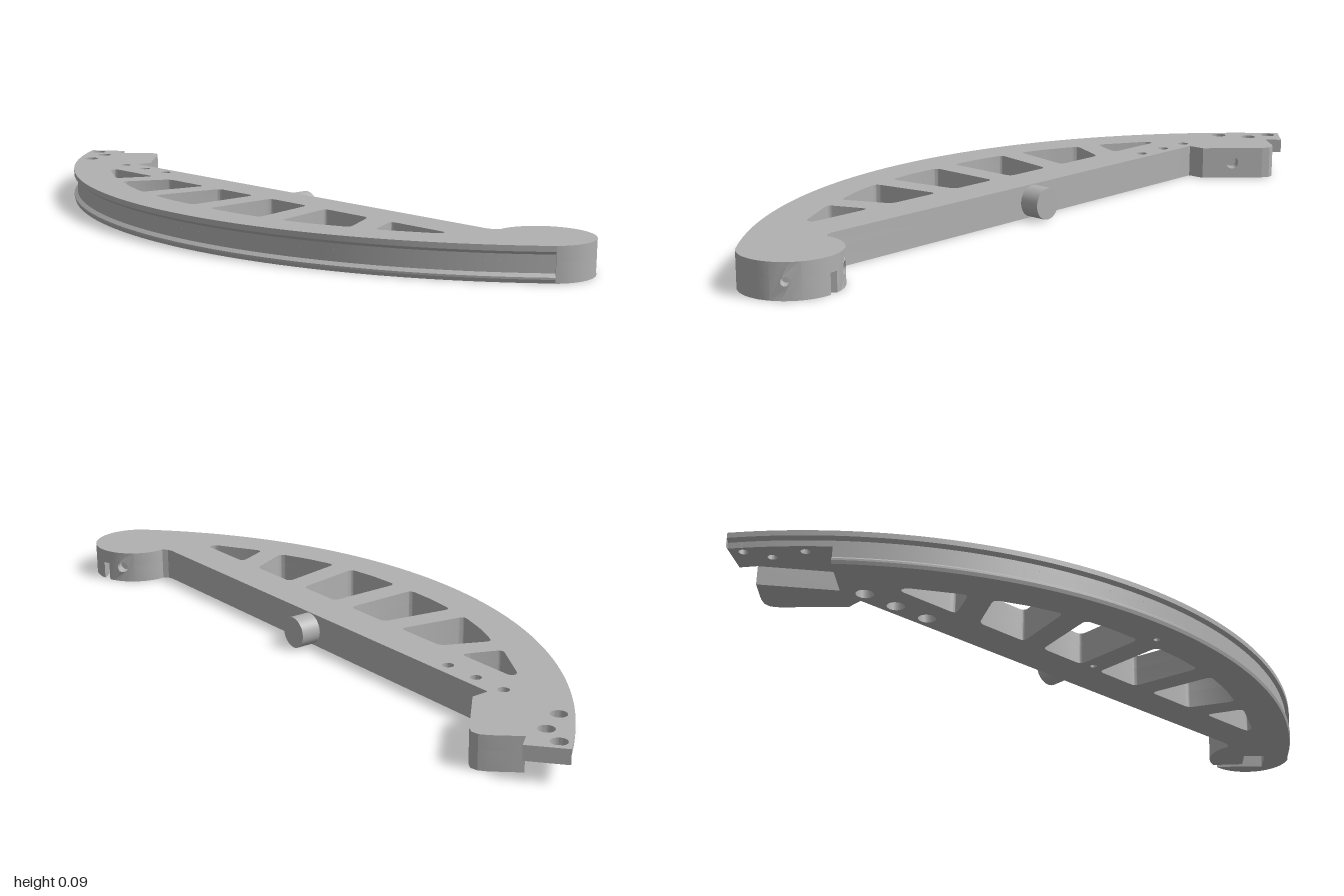
import * as THREE from 'three';
import { toCreasedNormals } from 'three/addons/utils/BufferGeometryUtils.js';

const H = 0.088, STEP = 0.05;             // full thickness, height of the layer split
const CX = 0.995, CZ = 0.035, R = 1.305;  // centre and radius of the curved rim
const CORE = R - 0.01;
const BALL = [0.156, 0.87], BR = 0.122;   // rounded end
const SLAB = { width: 0.07, depth: 0.03 };
const A_TIP = 2 * Math.PI + Math.atan2(-1.035, -0.795);
const A_STEP = 2 * Math.PI + Math.atan2(-0.86, -0.981);
const A_END = Math.atan2(0.93, -0.915);

const polar = (cx, cz, r, a) => [cx + r * Math.cos(a), cz + r * Math.sin(a)];

function arc(cx, cz, r, a0, a1, n) {
  return Array.from({ length: n + 1 }, (_, i) => polar(cx, cz, r, a0 + (a1 - a0) * i / n));
}

const toShape = pts => new THREE.Shape(pts.map(p => new THREE.Vector2(p[0], p[1])));

function circle(x, z, r) {
  return new THREE.Path().absarc(x, z, r, 0, Math.PI * 2, false);
}

// Polygon with its corners rounded off
function rounded(pts, r) {
  const path = new THREE.Path();
  const v = pts.map(p => new THREE.Vector2(p[0], p[1]));
  v.forEach((p, i) => {
    const prev = v[(i + v.length - 1) % v.length], next = v[(i + 1) % v.length];
    const toward = q => p.clone().add(q.clone().sub(p).setLength(Math.min(r, p.distanceTo(q) * 0.45)));
    const a = toward(prev), b = toward(next);
    if (i === 0) path.moveTo(a.x, a.y); else path.lineTo(a.x, a.y);
    path.quadraticCurveTo(p.x, p.y, b.x, b.y);
  });
  path.closePath();
  return path;
}

// Horizontal plate from an x/z shape between two heights
function plate(shape, y0, y1) {
  const g = new THREE.ExtrudeGeometry(shape, { depth: y1 - y0, bevelEnabled: false, curveSegments: 8 });
  g.rotateX(Math.PI / 2).translate(0, y1, 0);
  return toCreasedNormals(g, 0.5);
}

// Upright slab with a round bore; its front may follow a cylinder
function drilledSlab(w, depth, hole, radius) {
  const n = 8, pts = [];
  for (let i = 0; i <= n; i++) pts.push([-w / 2 + w * i / n, 0]);
  for (let i = n; i >= 0; i--) pts.push([-w / 2 + w * i / n, H]);
  const s = toShape(pts);
  s.holes.push(circle(0, H / 2, hole));
  const g = new THREE.ExtrudeGeometry(s, { depth, bevelEnabled: false, curveSegments: 10 });
  g.translate(0, 0, -depth);
  const p = g.attributes.position;
  if (radius) for (let i = 0; i < p.count; i++) {
    if (p.getZ(i) > -1e-5) p.setZ(i, Math.sqrt(radius ** 2 - p.getX(i) ** 2) - radius);
  }
  return toCreasedNormals(g, 0.5);
}

// Seat in the rounded end that receives a drilled slab
function slabSeat(a) {
  const d = BR - SLAB.depth, w = SLAB.width / 2, h = Math.asin(w / BR);
  const at = s => [BALL[0] + d * Math.cos(a) - s * w * Math.sin(a), BALL[1] + d * Math.sin(a) + s * w * Math.cos(a)];
  return [polar(...BALL, BR, a - h), at(-1), at(1), polar(...BALL, BR, a + h)];
}

const BORE_A = -0.66, BORE_B = 0.79;      // directions of the bores in the rounded end

function outline(lower) {
  const half = Math.asin(SLAB.width / 2 / BR);
  const ball = (a, b, n) => arc(...BALL, BR, a, b, n);
  const slot = [[0.205, 0.895], [0.155, 0.845], [0.11, 0.89], [0.175, 0.955], [0.22, 0.91]];
  return [
    // tip, or the edge of the recess below it
    ...(lower ? [[0.115, -0.725]] : [[0.2, -1], [0.267, -0.918]]),
    [0.23, -0.89],
    // angled block with the seat for its drilled face
    [0.288, -0.837], [0.304, -0.817], [0.307, -0.797], [0.295, -0.778],
    [0.267, -0.806], [0.144, -0.683], [0.172, -0.655],
    // straight bar and neck
    [0.124, -0.655], [0.124, 0.722], [0.128, 0.738], [0.14, 0.75],
    // rounded end
    ...ball(-Math.PI / 2, BORE_A - half - 0.02, 4),
    ...slabSeat(BORE_A),
    ...(lower ? [polar(...BALL, BR, -0.28), ...slot, polar(...BALL, BR, -0.1)] : ball(-0.28, -0.1, 2)),
    ...ball(0, BORE_B - half - 0.02, 4),
    ...slabSeat(BORE_B),
    ...ball(BORE_B + half + 0.02, 2.25, 10),
    // curved edge
    ...arc(CX, CZ, CORE, A_END, lower ? A_STEP : A_TIP, 64),
  ];
}

export function createModel() {
  const model = new THREE.Group();
  const metal = new THREE.MeshStandardMaterial({ color: 0xb0b0b0, side: THREE.DoubleSide });
  metal.name = 'grey metal';
  const add = (name, geometry) => {
    const m = new THREE.Mesh(geometry, metal);
    m.name = name;
    model.add(m);
    return m;
  };

  // Windows, mirrored about the middle spoke
  const half = [
    [[-0.008, -0.62], [0.014, -0.62], [0.014, -0.445], [0, -0.445], [-0.088, -0.485]],
    [[-0.11, -0.423], [0.014, -0.362], [0.014, -0.208], [-0.175, -0.246], [-0.148, -0.335]],
    [[-0.186, -0.178], [0.014, -0.14], [0.014, 0], [-0.2, 0], [-0.197, -0.09]],
  ];
  const windows = [...half, ...half.map(w => w.map(([x, z]) => [x, 2 * CZ - z]))];
  const barHoles = [-0.67, -0.574, -0.474];
  const tipHoles = [[0.193, -0.955], [0.167, -0.89], [0.087, -0.85]];

  // Upper and lower layers of the frame
  for (const lower of [true, false]) {
    const s = toShape(outline(lower));
    windows.forEach(w => s.holes.push(rounded(w, 0.018)));
    barHoles.forEach(z => s.holes.push(circle(0.087, z, lower ? 0.023 : 0.015)));
    if (lower) [0, -0.235].forEach(x => s.holes.push(circle(x, CZ, 0.009)));
    else tipHoles.forEach(([x, z]) => s.holes.push(circle(x, z, 0.021)));
    add(lower ? 'lowerFrame' : 'upperFrame', plate(s, lower ? 0 : STEP, lower ? STEP : H));
  }

  // Counterbore ledges in the tip holes
  tipHoles.forEach(([x, z]) => {
    const s = new THREE.Shape().absarc(x, z, 0.0212, 0, Math.PI * 2, false);
    s.holes.push(circle(x, z, 0.012));
    add('counterboreLedge', plate(s, STEP, 0.07));
  });

  // Flanges that leave a groove along the curved edge
  const flange = (name, profile, aStart) => {
    const g = new THREE.LatheGeometry(profile.map(p => new THREE.Vector2(p[0], p[1])), 64,
      Math.PI / 2 - aStart, aStart - A_END);
    g.translate(CX, 0, CZ);
    add(name, toCreasedNormals(g, 0.3));
  };
  flange('upperFlange', [[CORE, 0.066], [R, 0.074], [R, H], [CORE, H]], A_TIP);
  flange('lowerFlange', [[CORE, 0], [R - 0.003, 0], [R, 0.009], [R, 0.014], [CORE, 0.022]], A_STEP);

  // Drilled faces of the angled block and the rounded end
  const place = (mesh, x, z, a) => {
    mesh.position.set(x, 0, z);
    mesh.rotation.y = Math.PI / 2 - a;
  };
  place(add('blockFace', drilledSlab(0.174, 0.0396, 0.017, 0)), 0.2335, -0.7165, Math.PI / 4);
  [[BORE_A, 0.016], [BORE_B, 0.011]].forEach(([a, r]) => {
    const [x, z] = polar(...BALL, BR, a);
    place(add('roundedEndFace', drilledSlab(SLAB.width, SLAB.depth, r, BR)), x, z, a);
  });

  // Round peg on the straight side
  const peg = new THREE.CylinderGeometry(0.042, 0.042, 0.07, 40);
  peg.rotateZ(Math.PI / 2).translate(0.145, H / 2, CZ);
  add('peg', peg);

  return model;
}
